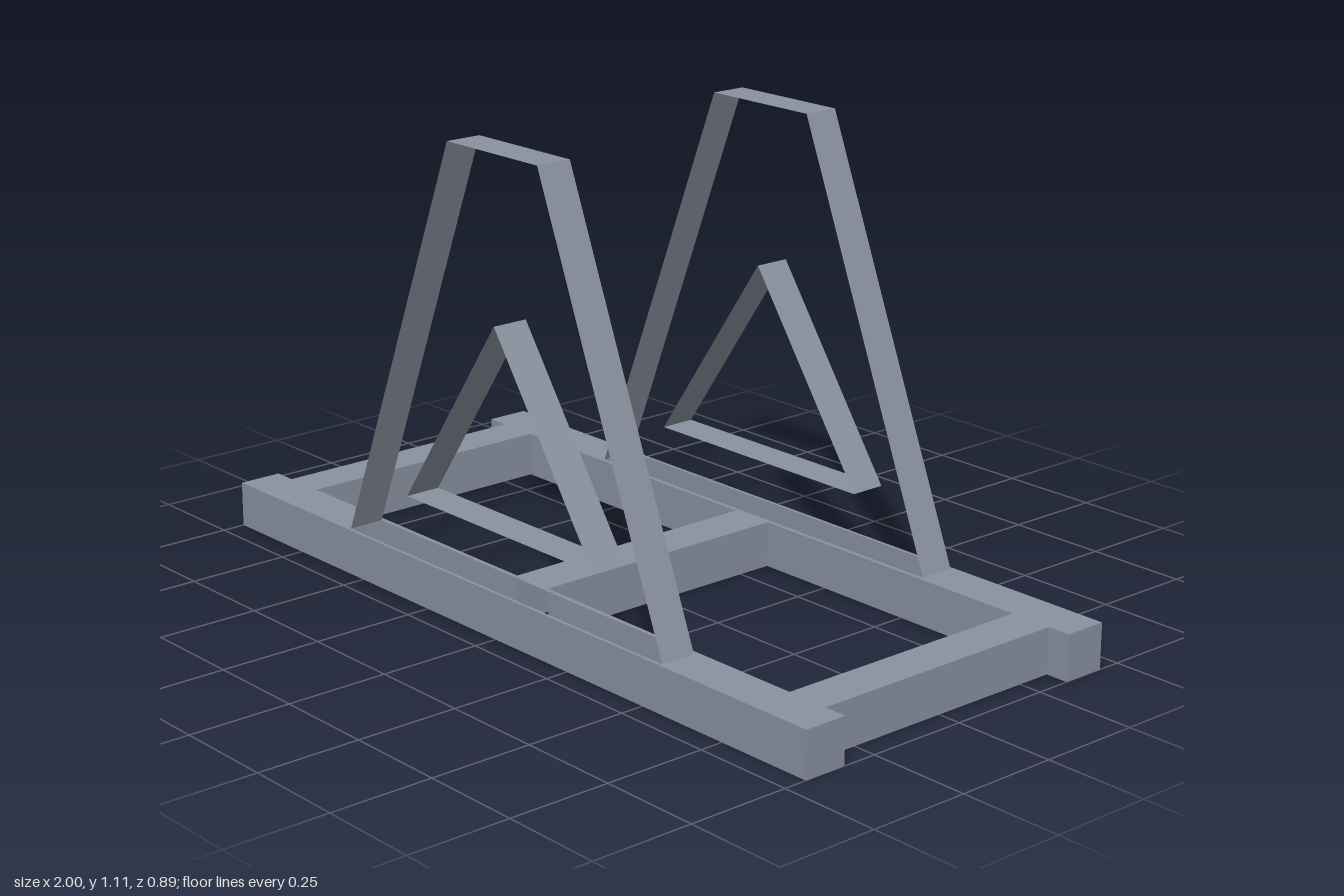
import * as THREE from 'three';

const steel = new THREE.MeshStandardMaterial({ color: 0x8a92a0, side: THREE.DoubleSide });
steel.name = 'greySteel';

const BAR_H = 0.11;    // height of the base frame
const Z_IN = 0.335;    // inner face of the long bars
const Z_OUT = 0.443;   // outer face of the long bars
const Z0 = 0.346, Z1 = 0.435; // depth range of the upright ribbons

// Uncapped ribbon: sweeps a 2D path in the xy plane from z0 to z1
function ribbon(path, z0, z1, closed) {
  const pos = [];
  const count = closed ? path.length : path.length - 1;
  for (let i = 0; i < count; i++) {
    const [ax, ay] = path[i], [bx, by] = path[(i + 1) % path.length];
    pos.push(ax, ay, z0, bx, by, z0, bx, by, z1, ax, ay, z0, bx, by, z1, ax, ay, z1);
  }
  const g = new THREE.BufferGeometry();
  g.setAttribute('position', new THREE.Float32BufferAttribute(pos, 3));
  g.computeVertexNormals();
  return g;
}

const rect = (x0, x1, y0, y1) => [[x0, y0], [x1, y0], [x1, y1], [x0, y1]];
const vectors = (pts) => pts.map(([x, y]) => new THREE.Vector2(x, y));

function addMesh(parent, geometry, name) {
  const m = new THREE.Mesh(geometry, steel);
  m.name = name;
  parent.add(m);
  return m;
}

// Ladder-shaped base: walls and a top deck, open underneath
function createBase() {
  const base = new THREE.Group();
  base.name = 'baseFrame';
  const e = 0.943;
  const outline = [
    [-1, -Z_OUT], [1, -Z_OUT], [1, -Z_IN], [e, -Z_IN], [e, Z_IN], [1, Z_IN],
    [1, Z_OUT], [-1, Z_OUT], [-1, Z_IN], [-e, Z_IN], [-e, -Z_IN], [-1, -Z_IN],
  ];
  const bays = [rect(-0.837, -0.055, -Z_IN, Z_IN), rect(0.055, 0.837, -Z_IN, Z_IN)];
  // the deck is open where the uprights stand
  const slots = [rect(-0.555, 0.555, Z0, Z1), rect(-0.555, 0.555, -Z1, -Z0)];

  const deck = new THREE.Shape(vectors(outline));
  for (const h of [...bays, ...slots]) deck.holes.push(new THREE.Path(vectors(h)));
  const top = new THREE.ShapeGeometry(deck).rotateX(-Math.PI / 2).translate(0, BAR_H, 0);
  addMesh(base, top, 'baseTop');

  addMesh(base, ribbon(outline, 0, BAR_H, true).rotateX(-Math.PI / 2), 'baseOuterWalls');
  bays.forEach((b) => {
    addMesh(base, ribbon([...b].reverse(), 0, BAR_H, true).rotateX(-Math.PI / 2), 'baseInnerWalls');
  });
  return base;
}

// Upright: trapezoid strap with a triangular strap inside it
function createUpright(name, z0, z1) {
  const upright = new THREE.Group();
  upright.name = name;
  const strap = [[0.555, BAR_H], [0.155, 1.11], [-0.155, 1.11], [-0.555, BAR_H]];
  const triangle = [[-0.33, 0.25], [0, 0.725], [0.33, 0.25]];
  addMesh(upright, ribbon(strap, z0, z1, false), 'outerStrap');
  addMesh(upright, ribbon(triangle, z0, z1, true), 'innerTriangle');
  return upright;
}

export function createModel() {
  const model = new THREE.Group();
  model.name = 'supportStand';
  model.add(createBase());
  model.add(createUpright('frontUpright', Z0, Z1));
  model.add(createUpright('backUpright', -Z1, -Z0));
  return model;
}
